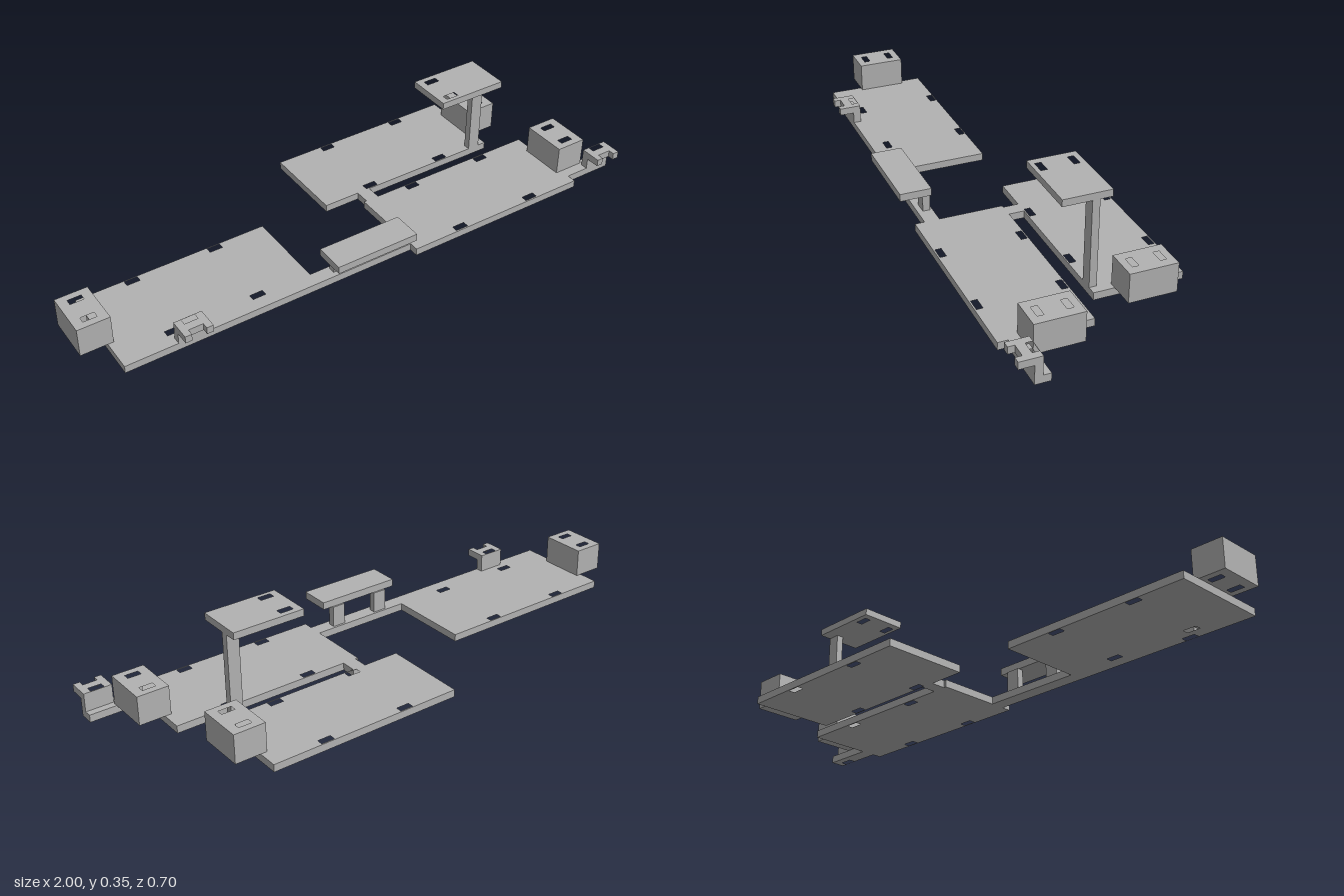
import * as THREE from 'three';

export function createModel() {
  const model = new THREE.Group();
  model.name = 'slottedPlateAssembly';
  const grey = new THREE.MeshStandardMaterial({ color: 0xb2b2b2 });
  grey.name = 'plain grey';

  const T = 0.026;            // sheet thickness
  const SW = 0.046, SD = 0.021; // slot width and depth

  // Plan-view outline as points [x, z]
  const outline = (pts, Type) => new Type(pts.map(([x, z]) => new THREE.Vector2(x, -z)));
  const rect = (x0, x1, z0, z1) => [[x0, z0], [x1, z0], [x1, z1], [x0, z1]];

  // Upright prism from a plan outline, with through slots centred at [x, z]
  function slab(name, pts, y0, y1, slots = []) {
    const shape = outline(pts, THREE.Shape);
    for (const [x, z] of slots) {
      shape.holes.push(outline(rect(x - SW / 2, x + SW / 2, z - SD / 2, z + SD / 2), THREE.Path));
    }
    const geo = new THREE.ExtrudeGeometry(shape, { depth: y1 - y0, bevelEnabled: false });
    geo.rotateX(-Math.PI / 2);
    geo.translate(0, y0, 0);
    const mesh = new THREE.Mesh(geo, grey);
    mesh.name = name;
    model.add(mesh);
  }
  const grid = (xs, zs) => xs.flatMap((x) => zs.map((z) => [x, z]));

  // Ground plates
  slab('rightPlate', rect(-0.91, -0.23, -0.07, 0.278), 0, T,
    [...grid([-0.72, -0.42], [-0.056, 0.22]), [-0.682, 0.265]]);
  slab('leftPlate', rect(0.13, 0.815, 0.007, 0.311), 0, T, grid([0.322, 0.622], [0.022, 0.295]));
  slab('backPlate', rect(0.01, 0.698, -0.348, -0.046), 0, T, grid([0.202, 0.502], [-0.333, -0.061]));

  // Strips joining the plates
  slab('middleStrip', rect(-0.23, 0.13, 0.227, 0.278), 0, T);
  slab('endStrip', rect(0.815, 0.996, 0.227, 0.278), 0, T, [[0.948, 0.265]]);
  slab('backStrip', rect(0.14, 0.188, -0.046, 0.007), 0, T);

  // Slotted blocks on the plate ends
  for (const [name, x, z] of [['rightBlock', -0.945, 0.084], ['leftBlock', 0.848, 0.16], ['backBlock', 0.73, -0.197]]) {
    slab(name, rect(x - 0.055, x + 0.055, z - 0.081, z + 0.081), T, 0.127,
      [[x, z - 0.046], [x, z + 0.046]]);
  }

  // Raised shelf on a tall post
  slab('shelfPost', rect(0.625, 0.668, -0.071, -0.046), T, 0.325);
  slab('shelf', rect(0.417, 0.668, -0.112, 0.051), 0.325, 0.349, [[0.466, -0.082], [0.466, 0.026]]);

  // Low bridge on two legs
  for (const x of [-0.137, 0.04]) {
    slab('bridgeLeg', rect(x - 0.024, x + 0.024, 0.235, 0.26), T, 0.101);
  }
  slab('bridgeTop', rect(-0.2, 0.1, 0.241, 0.348), 0.101, 0.127);

  // Forked clips on the front edge
  for (const x of [-0.682, 0.948]) {
    const w = 0.048, n = 0.025;
    slab('clipWall', rect(x - w, x + w, 0.252, 0.278), T, 0.065, [[x, 0.265]]);
    slab('clipFork', [[x - w, 0.252], [x + w, 0.252], [x + w, 0.327], [x + n, 0.327],
      [x + n, 0.305], [x - n, 0.305], [x - n, 0.327], [x - w, 0.327]], 0.065, 0.09, [[x, 0.265]]);
  }
  return model;
}
